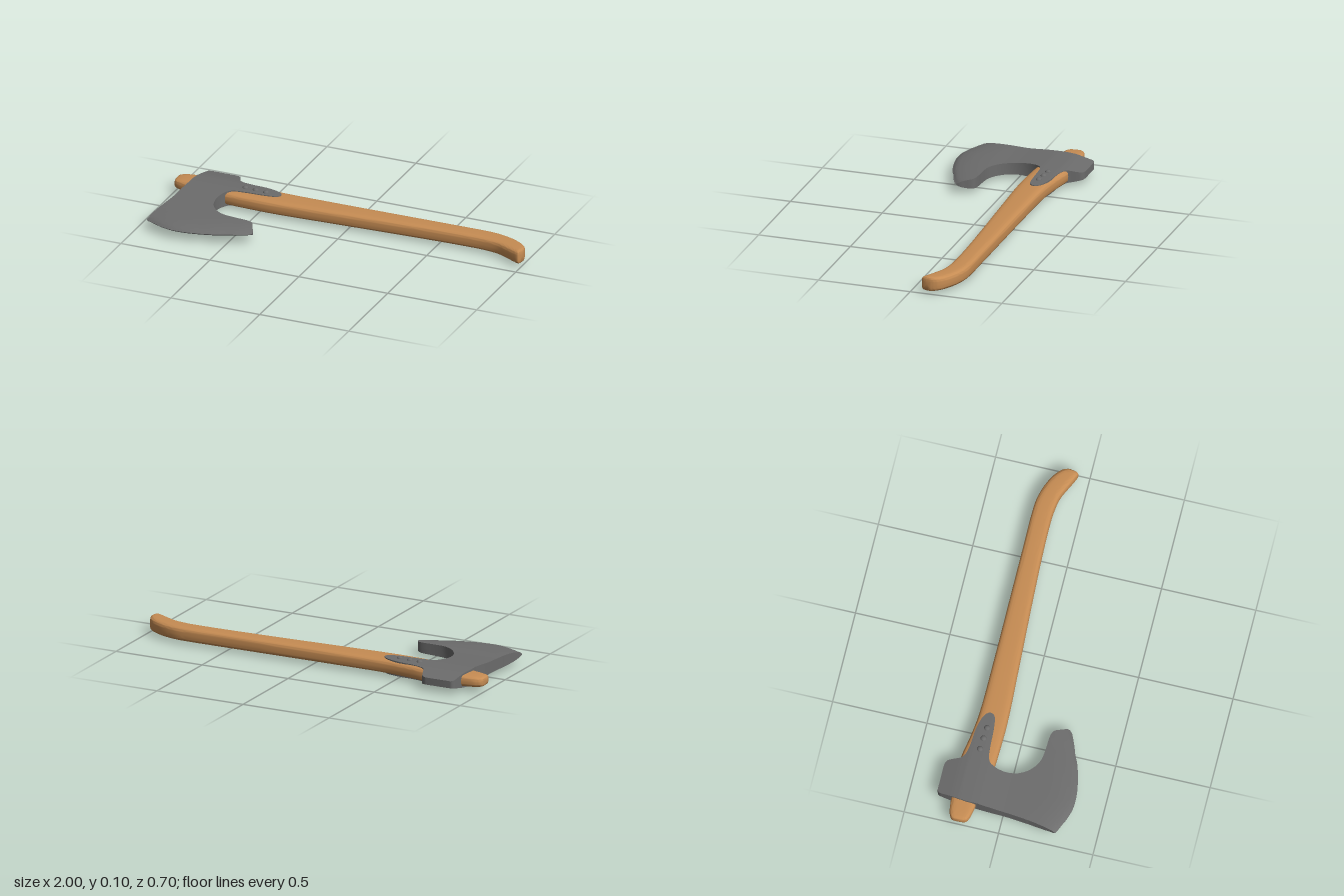
import * as THREE from 'three';
import { toCreasedNormals } from 'three/addons/utils/BufferGeometryUtils.js';

const MID = 0.052; // height of the plane of symmetry

// Skin a list of closed rings and cap both ends.
function loft(rings) {
  const n = rings[0].length, pos = [], index = [];
  rings.forEach(r => r.forEach(p => pos.push(p.x, p.y, p.z)));
  for (let i = 0; i < rings.length - 1; i++) {
    for (let j = 0; j < n; j++) {
      const k = (j + 1) % n;
      const a = i * n + j, b = i * n + k, c = a + n, d = b + n;
      index.push(a, c, b, b, c, d);
    }
  }
  [0, rings.length - 1].forEach((r, end) => {
    const mid = new THREE.Vector3();
    rings[r].forEach(p => mid.addScaledVector(p, 1 / n));
    const m = pos.length / 3;
    pos.push(mid.x, mid.y, mid.z);
    for (let j = 0; j < n; j++) {
      const a = r * n + j, b = r * n + (j + 1) % n;
      if (end) index.push(m, b, a); else index.push(m, a, b);
    }
  });
  const g = new THREE.BufferGeometry();
  g.setAttribute('position', new THREE.Float32BufferAttribute(pos, 3));
  g.setIndex(index);
  return toCreasedNormals(g, 0.6);
}

// Linear lookup in a table of [input, output] pairs.
function lookup(table, v) {
  if (v <= table[0][0]) return table[0][1];
  for (let i = 1; i < table.length; i++) {
    const [x0, y0] = table[i - 1], [x1, y1] = table[i];
    if (v <= x1) return y0 + (y1 - y0) * (v - x0) / (x1 - x0);
  }
  return table[table.length - 1][1];
}

const spline = pts => new THREE.CatmullRomCurve3(pts, false, 'centripetal');

// Handle: back x, back z, front x, front z, half thickness
function handleGeometry() {
  const stations = [
    [-1, -0.225, -1, -0.195, 0.012], [-0.996, -0.25, -0.992, -0.172, 0.022],
    [-0.97, -0.266, -0.97, -0.16, 0.027], [-0.9, -0.276, -0.9, -0.145, 0.031],
    [-0.8, -0.28, -0.8, -0.12, 0.036], [-0.66, -0.28, -0.66, -0.1, 0.038],
    [-0.55, -0.262, -0.55, -0.095, 0.038], [-0.42, -0.246, -0.42, -0.093, 0.038],
    [-0.1, -0.241, -0.1, -0.107, 0.038], [0.3, -0.241, 0.3, -0.126, 0.038],
    [0.55, -0.241, 0.55, -0.135, 0.038], [0.73, -0.241, 0.7, -0.136, 0.038],
    [0.8, -0.236, 0.76, -0.133, 0.038], [0.88, -0.215, 0.84, -0.12, 0.038],
    [0.95, -0.18, 0.9, -0.094, 0.038], [0.988, -0.145, 0.95, -0.07, 0.038],
    [0.998, -0.12, 0.985, -0.058, 0.036], [1, -0.11, 0.993, -0.07, 0.028],
  ];
  const back = spline(stations.map(s => new THREE.Vector3(s[0], s[4], s[1])));
  const front = spline(stations.map(s => new THREE.Vector3(s[2], s[4], s[3])));
  const soft = v => Math.sign(v) * Math.sqrt(Math.abs(v)); // rounded-square section
  const rings = [], steps = (stations.length - 1) * 4, sides = 48;
  for (let i = 0; i <= steps; i++) {
    const b = back.getPoint(i / steps), f = front.getPoint(i / steps), ring = [];
    for (let j = 0; j < sides; j++) {
      const t = j / sides * Math.PI * 2, w = 0.5 + 0.5 * soft(Math.cos(t));
      ring.push(new THREE.Vector3(
        b.x + (f.x - b.x) * w, MID + b.y * soft(Math.sin(t)), b.z + (f.z - b.z) * w));
    }
    rings.push(ring);
  }
  return loft(rings);
}

// Head: rows from the poll to the cutting edge, including langet and beard
function headGeometry() {
  const outline = [ // z, left x, right x
    [-0.355, -0.865, -0.725], [-0.345, -0.88, -0.7], [-0.315, -0.885, -0.685],
    [-0.27, -0.89, -0.665], [-0.25, -0.893, -0.61], [-0.24, -0.895, -0.5],
    [-0.215, -0.897, -0.42], [-0.19, -0.9, -0.4], [-0.165, -0.9, -0.41],
    [-0.152, -0.9, -0.46], [-0.145, -0.9, -0.58], [-0.138, -0.9, -0.64],
    [-0.12, -0.902, -0.67], [-0.05, -0.907, -0.695], [0.03, -0.912, -0.685],
    [0.09, -0.918, -0.645], [0.125, -0.922, -0.59], [0.135, -0.923, -0.52],
    [0.139, -0.923, -0.45], [0.15, -0.925, -0.417], [0.187, -0.93, -0.397],
    [0.23, -0.937, -0.383], [0.267, -0.943, -0.45], [0.287, -0.947, -0.505],
    [0.31, -0.9, -0.556], [0.33, -0.855, -0.625], [0.343, -0.81, -0.69],
    [0.348, -0.775, -0.735],
  ];
  const edge = [[-0.947, 0.287], [-0.9, 0.31], [-0.855, 0.33], [-0.81, 0.343],
    [-0.775, 0.348], [-0.735, 0.348], [-0.69, 0.343], [-0.625, 0.33], [-0.556, 0.31],
    [-0.505, 0.287], [-0.45, 0.267], [-0.383, 0.23]];
  const body = [[-0.355, 0.019], [-0.3, 0.03], [-0.27, 0.036], [-0.24, 0.04],
    [-0.19, 0.042], [-0.14, 0.042], [-0.1, 0.04], [-0.05, 0.036], [0, 0.032], [0.05, 0.031]];
  const bevel = [[0, 0.001], [0.015, 0.011], [0.03, 0.016], [0.06, 0.022],
    [0.09, 0.026], [0.13, 0.029], [0.18, 0.031], [0.24, 0.05]];
  const half = (x, z) => Math.min(lookup(body, z), lookup(bevel, lookup(edge, x) - z));

  const curve = spline(outline.map(([z, l, r]) => new THREE.Vector3(l, r, z)));
  const rings = [], steps = (outline.length - 1) * 3, cols = 28;
  for (let i = 0; i <= steps; i++) {
    const { x: l, y: r, z } = curve.getPoint(i / steps);
    const top = [], bottom = [];
    for (let j = 0; j <= cols; j++) {
      const x = l + (r - l) * (0.5 - 0.5 * Math.cos(Math.PI * j / cols));
      const h = half(x, z);
      top.push(new THREE.Vector3(x, MID + h, z));
      bottom.unshift(new THREE.Vector3(x, MID - h, z));
    }
    rings.push([...top, ...bottom]);
  }
  return loft(rings);
}

export function createModel() {
  const wood = new THREE.MeshStandardMaterial({ color: 0xc68c53 });
  wood.name = 'wood';
  const steel = new THREE.MeshStandardMaterial({ color: 0x6c6c6c });
  steel.name = 'steel';

  const model = new THREE.Group();
  model.name = 'axe';
  const add = (name, geometry, material, parent = model) => {
    const mesh = new THREE.Mesh(geometry, material);
    mesh.name = name;
    parent.add(mesh);
    return mesh;
  };
  add('handle', handleGeometry(), wood);
  add('head', headGeometry(), steel);

  // Domed rivets on both faces of the langet
  const rivets = new THREE.Group();
  rivets.name = 'rivets';
  model.add(rivets);
  const dome = new THREE.SphereGeometry(0.016, 20, 12);
  for (const side of [1, -1]) {
    for (const [x, z] of [[-0.605, -0.194], [-0.545, -0.19], [-0.485, -0.185]]) {
      const rivet = add('rivet', dome, steel, rivets);
      rivet.position.set(x, MID + side * 0.04, z);
      rivet.scale.y = 0.75;
    }
  }
  return model;
}
